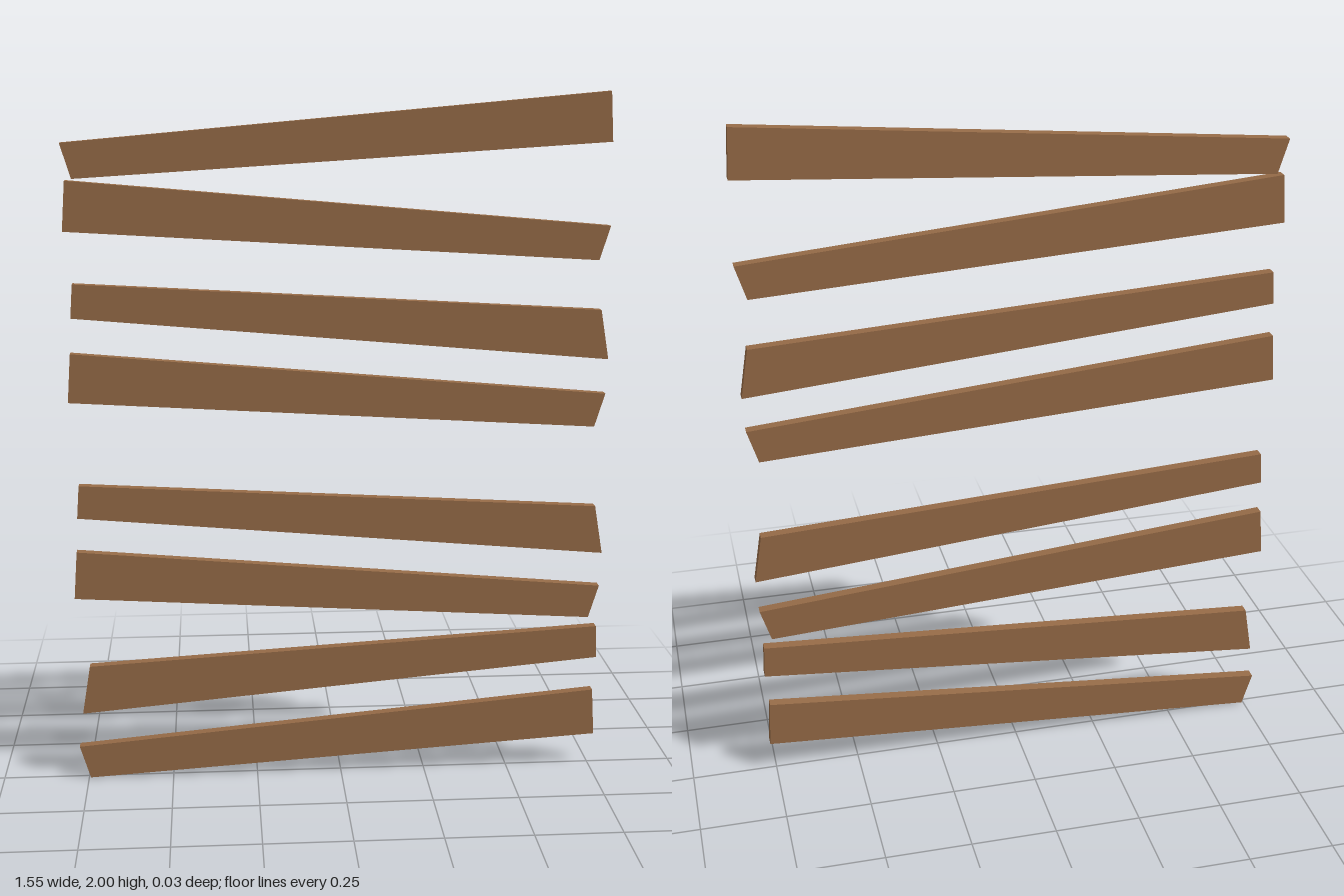
import * as THREE from 'three';

const THICKNESS = 0.03;

// Tapered board outlines, counter-clockwise from lower left; y is relative to the board's lowest corner
const OUTLINES = {
  risingWide: [[-0.745, 0], [0.765, 0.095], [0.757, 0.235], [-0.775, 0.098]],
  risingNarrow: [[-0.762, 0], [0.766, 0.136], [0.762, 0.233], [-0.738, 0.145]],
  fallingNarrow: [[-0.775, 0.092], [0.737, 0], [0.767, 0.097], [-0.765, 0.232]],
  fallingWide: [[-0.76, 0.135], [0.772, 0], [0.748, 0.143], [-0.753, 0.231]],
};

// Outline and base height of each board, bottom to top
const BOARDS = [
  ['risingWide', 0],
  ['risingNarrow', 0.202],
  ['fallingNarrow', 0.464],
  ['fallingWide', 0.662],
  ['fallingNarrow', 1.044],
  ['fallingWide', 1.242],
  ['fallingNarrow', 1.528],
  ['risingWide', 1.765],
];

export function createModel() {
  const group = new THREE.Group();
  group.name = 'woodenBoards';

  const wood = new THREE.MeshStandardMaterial({ color: 0x966b47 });
  wood.name = 'brown wood';

  // One extruded geometry per outline, shared by repeated boards
  const geometries = {};
  for (const [key, points] of Object.entries(OUTLINES)) {
    const shape = new THREE.Shape(points.map(([x, y]) => new THREE.Vector2(x, y)));
    geometries[key] = new THREE.ExtrudeGeometry(shape, { depth: THICKNESS, bevelEnabled: false })
      .translate(0, 0, -THICKNESS / 2);
  }

  BOARDS.forEach(([key, y], i) => {
    const board = new THREE.Mesh(geometries[key], wood);
    board.name = `board${i + 1}`;
    board.position.y = y;
    group.add(board);
  });

  return group;
}
